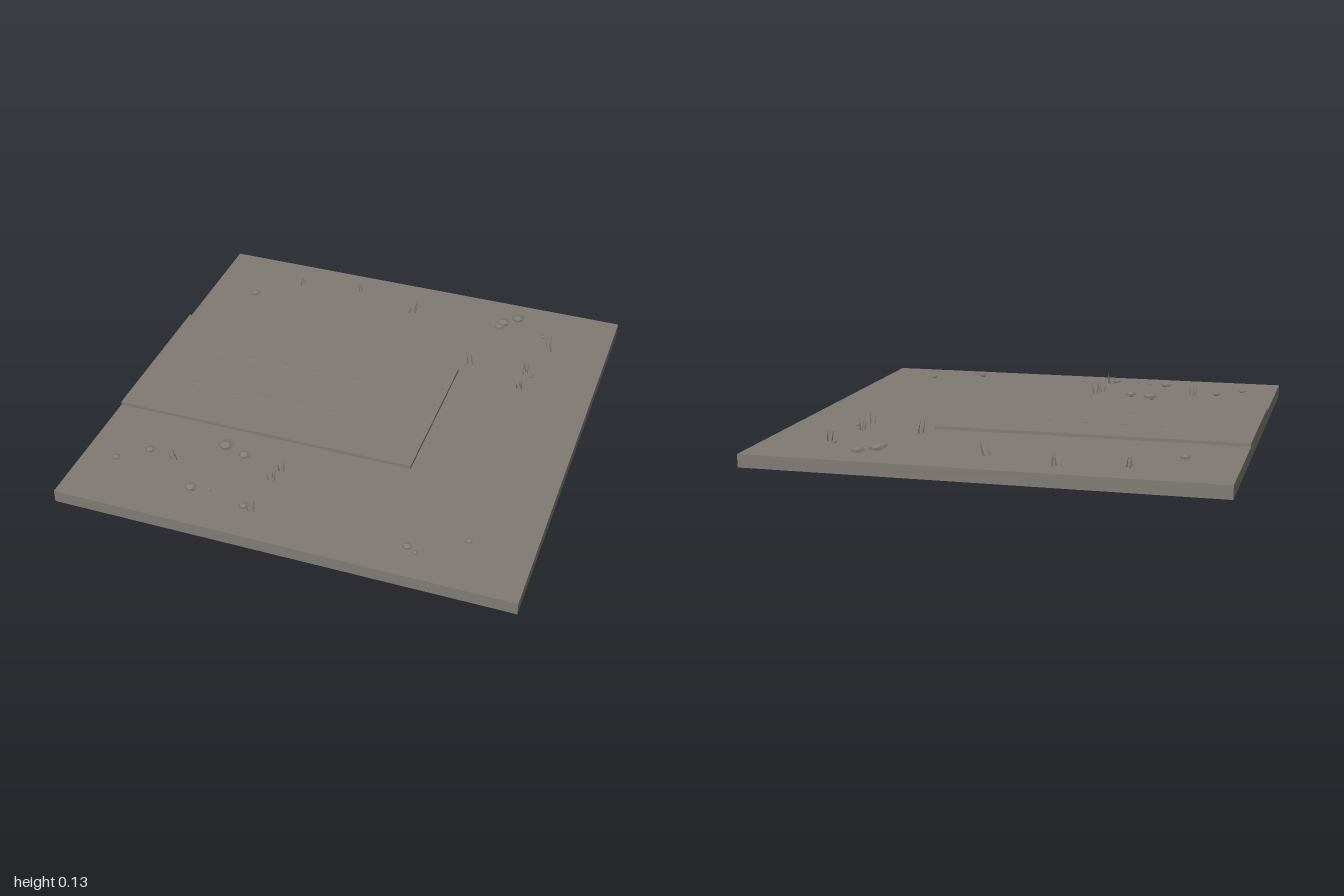
import * as THREE from 'three';

export function createModel() {
  const model = new THREE.Group();
  model.name = 'groundTile';
  const stone = new THREE.MeshStandardMaterial({ name: 'warmGreyStone', color: 0x807b74 });
  const GROUND = 0.056, SLAB = 0.071;

  // Small seeded generator for the grass blades
  let seed = 11;
  const rand = (a, b) => {
    seed = (seed * 16807) % 2147483647;
    return a + (b - a) * (seed / 2147483647);
  };

  const add = (geometry, name, x, y, z, parent = model) => {
    const mesh = new THREE.Mesh(geometry, stone);
    mesh.name = name;
    mesh.position.set(x, y, z);
    parent.add(mesh);
    return mesh;
  };

  // Square base and the raised slab running in from the -x edge
  add(new THREE.BoxGeometry(2, GROUND, 2), 'base', 0, GROUND / 2, 0);
  const slabHeight = SLAB - GROUND;
  add(new THREE.BoxGeometry(1.37, slabHeight, 0.745), 'raisedSlab', -0.315, GROUND + slabHeight / 2, 0);

  // Two rows of very shallow bumps on the slab
  const bump = new THREE.DodecahedronGeometry(1);
  for (const z of [-0.13, 0.13]) {
    for (let i = 0; i < 5; i++) {
      add(bump, 'trackMark', -0.73 + i * 0.166, SLAB, z).scale.set(0.045, 0.002, 0.025);
    }
  }

  // Flattened rocks: x, z, half width
  const rocks = [
    [-0.77, -0.665, 0.022], [0.47, -0.815, 0.032], [0.53, -0.87, 0.029], [0.46, -0.775, 0.024],
    [0.68, -0.755, 0.013], [0.7, -0.43, 0.013], [-0.43, 0.495, 0.033], [-0.33, 0.53, 0.027],
    [-0.73, 0.63, 0.022], [-0.845, 0.725, 0.018], [-0.46, 0.8, 0.026], [-0.38, 0.79, 0.011],
    [-0.205, 0.835, 0.021], [0.505, 0.845, 0.021], [0.545, 0.87, 0.013], [0.73, 0.735, 0.016],
  ];
  const rockShape = new THREE.DodecahedronGeometry(1);
  for (const [x, z, half] of rocks) {
    const r = half / 0.934;
    add(rockShape, 'rock', x, 0.07, z).scale.set(r, r * 0.42, r);
  }

  // Grass tufts: x, z; each has three thin leaning blades
  const tufts = [
    [-0.575, -0.825], [-0.28, -0.87], [0.02, -0.775], [0.73, -0.685], [0.41, -0.46], [0.665, -0.465],
    [0.67, -0.34], [-0.615, 0.64], [-0.145, 0.565], [-0.165, 0.63], [-0.17, 0.845],
  ];
  const blade = new THREE.ConeGeometry(0.004, 1, 4).toNonIndexed();
  blade.translate(0, 0.5, 0);
  blade.computeVertexNormals();
  for (const [x, z] of tufts) {
    const tuft = new THREE.Group();
    tuft.name = 'grassTuft';
    tuft.position.set(x, GROUND - 0.002, z);
    model.add(tuft);
    for (let i = 0; i < 3; i++) {
      const a = rand(0, 1) + (i * Math.PI * 2) / 3;
      const d = rand(0.008, 0.018);
      const mesh = add(blade, 'grassBlade', Math.cos(a) * d, 0, Math.sin(a) * d, tuft);
      mesh.scale.y = rand(0.045, 0.075);
      mesh.rotation.set(rand(-0.3, 0.3), 0, rand(-0.3, 0.3));
    }
  }
  return model;
}
